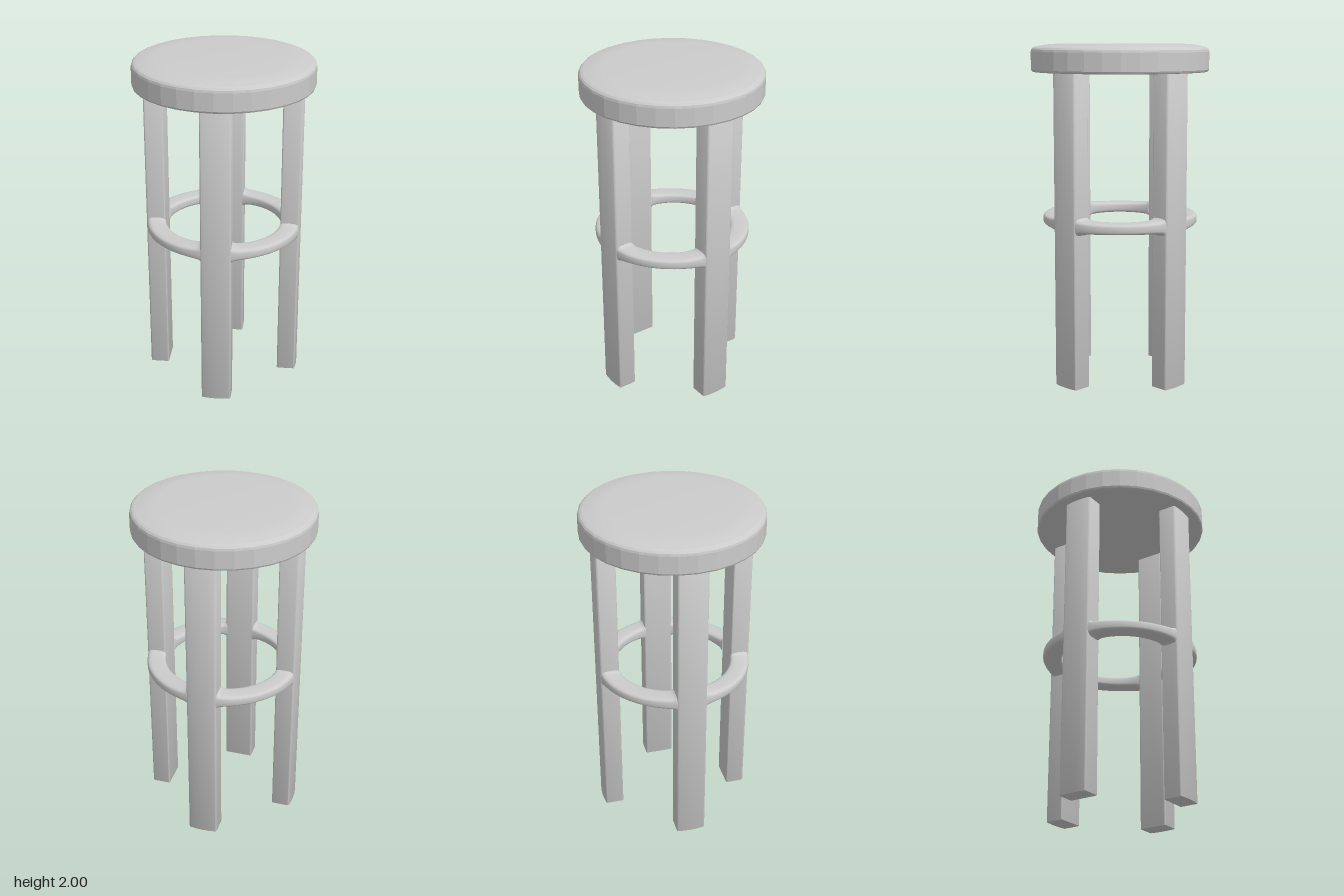
import * as THREE from 'three';
import { toCreasedNormals } from 'three/addons/utils/BufferGeometryUtils.js';

const LEG_HALF = 0.088, LEG_IN = 0.345, LEG_OUT = 0.465;
const material = new THREE.MeshStandardMaterial({ color: 0xcccccc, side: THREE.DoubleSide });

function addMesh(parent, name, geometry) {
  const mesh = new THREE.Mesh(geometry, material);
  mesh.name = name;
  parent.add(mesh);
  return mesh;
}

// Round faceted seat with a softened rim and a faintly domed top
function seatGeometry() {
  const profile = [
    [0, 1.838], [0.512, 1.838], [0.522, 1.842], [0.527, 1.852],
    [0.527, 1.955], [0.524, 1.968], [0.515, 1.978], [0.5, 1.984],
    [0.483, 1.987], [0.455, 1.993], [0.42, 1.998], [0.385, 2], [0, 2],
  ].map(([r, y]) => new THREE.Vector2(r, y));
  return toCreasedNormals(new THREE.LatheGeometry(profile, 32), 0.19);
}

// Straight leg: flat inside, gently curved outside, small eased edges
function legGeometry() {
  const e = 0.005, c = 0.006;
  const w = LEG_HALF - e, inner = LEG_IN + e, outer = LEG_OUT - e;
  const edge = Math.sqrt(outer * outer - w * w);
  const shape = new THREE.Shape();
  shape.moveTo(-w + c, inner);
  shape.lineTo(w - c, inner);
  shape.quadraticCurveTo(w, inner, w, inner + c);
  shape.lineTo(w, edge - c);
  shape.quadraticCurveTo(w, edge, w - c, edge + 0.001);
  shape.quadraticCurveTo(0, 2 * outer - edge - 0.001, -w + c, edge + 0.001);
  shape.quadraticCurveTo(-w, edge, -w, edge - c);
  shape.lineTo(-w, inner + c);
  shape.quadraticCurveTo(-w, inner, -w + c, inner);
  const geometry = new THREE.ExtrudeGeometry(shape, {
    depth: 1.845 - 2 * e, bevelSize: e, bevelThickness: e, bevelSegments: 2, curveSegments: 4,
  });
  geometry.rotateX(-Math.PI / 2).translate(0, e, 0);
  return toCreasedNormals(geometry, 0.5);
}

// Quarter of the footrest ring: a rounded section that thickens and flares into the legs
function footrestGeometry() {
  const steps = 40, sides = 24, position = [], index = [];
  const rMid = 0.406, halfWidth = 0.057, yMid = 0.966;
  const round = (v) => Math.sign(v) * Math.pow(Math.abs(v), 0.55);
  for (let i = 0; i <= steps; i++) {
    const u = i / steps;
    const t = u - 0.1 * Math.sin(2 * Math.PI * u); // denser rows near the legs
    for (let j = 0; j < sides; j++) {
      const a = (j / sides) * Math.PI * 2;
      const r = rMid + halfWidth * round(Math.cos(a));
      const start = Math.asin(0.08 / r);
      const angle = start + t * (Math.PI / 2 - 2 * start);
      const x = r * Math.cos(angle), z = r * Math.sin(angle);
      const d = Math.max(0, Math.min(x, z) - LEG_HALF);
      const half = 0.031 + 0.011 * Math.exp(-d / 0.07) + 0.009 * Math.exp(-d / 0.008);
      position.push(x, yMid + half * round(Math.sin(a)), z);
      if (i < steps) {
        const p = i * sides + j, q = i * sides + ((j + 1) % sides);
        index.push(p, q, p + sides, q, q + sides, p + sides);
      }
    }
  }
  const geometry = new THREE.BufferGeometry();
  geometry.setAttribute('position', new THREE.Float32BufferAttribute(position, 3));
  geometry.setIndex(index);
  geometry.computeVertexNormals();
  return geometry;
}

export function createModel() {
  const model = new THREE.Group();
  model.name = 'stool';
  addMesh(model, 'seat', seatGeometry());

  const leg = legGeometry(), footrest = footrestGeometry();
  ['back', 'left', 'front', 'right'].forEach((side, i) => {
    addMesh(model, side + 'Leg', leg).rotation.y = -i * Math.PI / 2;
    addMesh(model, 'footrestArc' + (i + 1), footrest).rotation.y = -i * Math.PI / 2;
  });
  return model;
}
